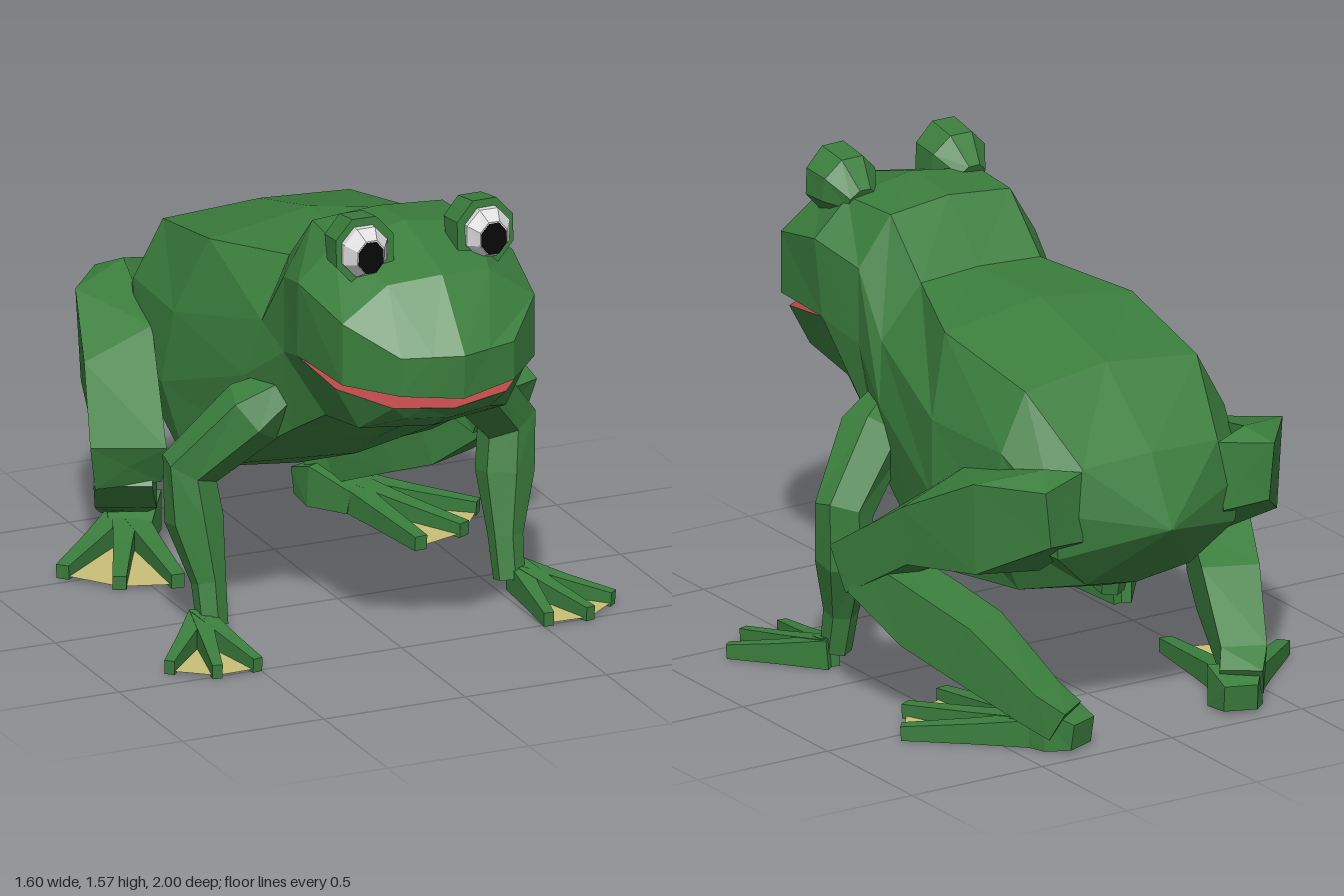
import * as THREE from 'three';

const mat = (name, color, extra = {}) => {
  const m = new THREE.MeshStandardMaterial({ color, flatShading: true, ...extra });
  m.name = name;
  return m;
};
const V = (p) => new THREE.Vector3(p[0], p[1], p[2]);

// Skin joining successive rings of points; a cap may be given an apex point
function loft(rings, { closed = true, caps = closed, apex = null, flip = false } = {}) {
  const out = [];
  const tri = (a, b, c) => {
    const area = b.clone().sub(a).cross(c.clone().sub(a)).length();
    if (area < 1e-6) return;
    for (const p of flip ? [a, c, b] : [a, b, c]) out.push(p.x, p.y, p.z);
  };
  const n = rings[0].length, last = rings.length - 1;
  for (let j = 0; j < (closed ? n : n - 1); j++) {
    const k = (j + 1) % n;
    for (let i = 0; i < last; i++) {
      const a = rings[i][j], b = rings[i][k], c = rings[i + 1][k], d = rings[i + 1][j];
      tri(a, d, b);
      tri(b, d, c);
    }
  }
  if (caps) {
    const mid = (r) => r.reduce((s, p) => s.add(p), new THREE.Vector3()).divideScalar(n);
    const m0 = apex ? V(apex) : mid(rings[0]), m1 = mid(rings[last]);
    for (let j = 0; j < n; j++) {
      const k = (j + 1) % n;
      tri(rings[0][j], rings[0][k], m0);
      tri(rings[last][k], rings[last][j], m1);
    }
  }
  const g = new THREE.BufferGeometry();
  g.setAttribute('position', new THREE.Float32BufferAttribute(out, 3));
  g.computeVertexNormals();
  return g;
}

// Half section (centre outwards on +x) completed with its mirror image
const both = (half) => [
  ...half.filter((p) => p[0] > 0).reverse().map((p) => V([-p[0], p[1], p[2]])),
  ...half.map(V),
];

// Tapered prism along sections [x, y, z, half width, half height]
function limb(sections, sides = 4, ref = [0, 1, 0]) {
  const pts = sections.map(V), grow = 1 / Math.cos(Math.PI / sides);
  return loft(sections.map((s, i) => {
    const t = pts[Math.min(i + 1, pts.length - 1)].clone().sub(pts[Math.max(i - 1, 0)]).normalize();
    const u = V(ref).cross(t).normalize(), v = t.clone().cross(u);
    return Array.from({ length: sides }, (_, k) => {
      const a = -((k + 0.5) / sides) * Math.PI * 2;
      return pts[i].clone()
        .addScaledVector(u, Math.cos(a) * s[3] * grow)
        .addScaledVector(v, Math.sin(a) * s[4] * grow);
    });
  }));
}

// Mirrored copy across x = 0 with the corner order restored
function mirrored(geo) {
  const g = geo.clone(), p = g.attributes.position.array;
  for (let i = 0; i < p.length; i += 9) {
    for (let k = 0; k < 9; k += 3) p[i + k] *= -1;
    for (let k = 3; k < 6; k++) [p[i + k], p[i + k + 3]] = [p[i + k + 3], p[i + k]];
  }
  g.computeVertexNormals();
  return g;
}

export function createModel() {
  const green = mat('skin green', 0x3b7e3d);
  const yellow = mat('web yellow', 0xc8c076, { side: THREE.DoubleSide });
  const red = mat('mouth red', 0xb84848, { side: THREE.DoubleSide });
  const white = mat('eye white', 0xdcdcdc);
  const black = mat('pupil black', 0x080808);

  const frog = new THREE.Group();
  frog.name = 'frog';
  const add = (name, geo, material) => {
    const m = new THREE.Mesh(geo, material);
    m.name = name;
    frog.add(m);
  };
  const pair = (name, geo, material) => {
    add('left ' + name, geo, material);
    add('right ' + name, mirrored(geo), material);
  };

  // Body from rump to the back of the mouth
  const jawRoot = [[0, 1.49, 0.53], [0.25, 1.45, 0.53], [0.38, 1.33, 0.53],
    [0.37, 1.07, 0.5], [0.27, 0.85, 0.5], [0, 0.82, 0.5]];
  const body = [
    [[0, 0.95, -0.88], [0.26, 0.94, -0.87], [0.36, 0.8, -0.86], [0.34, 0.64, -0.85], [0.2, 0.51, -0.8], [0, 0.48, -0.79]],
    [[0, 1.18, -0.61], [0.33, 1.15, -0.64], [0.43, 0.96, -0.65], [0.45, 0.7, -0.62], [0.33, 0.46, -0.6], [0, 0.41, -0.6]],
    [[0, 1.285, -0.22], [0.36, 1.23, -0.21], [0.455, 0.97, -0.28], [0.48, 0.72, -0.32], [0.43, 0.45, -0.22], [0, 0.375, -0.3]],
    [[0, 1.28, 0.14], [0.23, 1.27, 0.13], [0.35, 1.08, 0.18], [0.39, 0.88, 0.13], [0.36, 0.62, 0.13], [0, 0.56, 0.15]],
    [[0, 1.47, 0.32], [0.23, 1.45, 0.31], [0.34, 1.28, 0.33], [0.34, 1.02, 0.33], [0.3, 0.74, 0.31], [0, 0.67, 0.31]],
    jawRoot,
  ];
  add('body', loft(body.map(both), { apex: [0, 0.72, -1] }), green);

  // Upper head and lip
  const upper = [
    jawRoot.slice(0, 4),
    [[0, 1.4, 0.82], [0.18, 1.38, 0.79], [0.34, 1.27, 0.79], [0.34, 1.06, 0.79]],
    [[0, 1.18, 1], [0.1, 1.18, 0.97], [0.2, 1.18, 0.94], [0.2, 1.05, 0.94]],
    [[0, 1.03, 0.99], [0.1, 1.04, 0.965], [0.2, 1.05, 0.94], [0.2, 1.05, 0.94]],
  ];
  add('upper head', loft(upper.map(both), { closed: false }), green);

  // Lower jaw
  const chin = [
    jawRoot.slice(3).reverse(),
    [[0, 0.855, 0.74], [0.26, 0.885, 0.74], [0.34, 1.03, 0.74]],
    [[0, 0.93, 0.88], [0.15, 0.94, 0.86], [0.2, 0.99, 0.88]],
    [[0, 0.975, 0.92], [0.1, 0.982, 0.9], [0.2, 0.99, 0.88]],
  ];
  add('lower jaw', loft(chin.map(both), { closed: false, flip: true }), green);

  // Mouth lining
  const roof = [
    [[0, 1.07, 0.5], [0.37, 1.07, 0.5]],
    [[0, 1.06, 0.79], [0.34, 1.06, 0.79]],
    [[0, 1.03, 0.99], [0.2, 1.05, 0.94]],
  ];
  const floor = [
    [[0, 1.065, 0.59], [0.37, 1.07, 0.5]],
    [[0, 1.01, 0.74], [0.34, 1.03, 0.74]],
    [[0, 0.975, 0.92], [0.2, 0.99, 0.88]],
  ];
  add('mouth roof', loft(roof.map(both), { closed: false, flip: true }), red);
  add('mouth floor', loft(floor.map(both), { closed: false }), red);

  // Eyes
  pair('eye socket', limb([[0.21, 1.43, 0.51, 0.05, 0.05], [0.21, 1.465, 0.59, 0.098, 0.1],
    [0.213, 1.47, 0.685, 0.1, 0.11]], 8), green);
  pair('eyeball', limb([[0.217, 1.47, 0.66, 0.076, 0.083], [0.217, 1.47, 0.7, 0.076, 0.083],
    [0.217, 1.467, 0.742, 0.047, 0.056]], 8), white);
  pair('pupil', limb([[0.217, 1.465, 0.738, 0.043, 0.053], [0.217, 1.465, 0.746, 0.043, 0.053]], 8), black);

  // Front legs
  pair('front leg', limb([
    [0.29, 0.85, 0.23, 0.06, 0.07], [0.38, 0.77, 0.18, 0.1, 0.1], [0.56, 0.57, 0.08, 0.09, 0.07],
    [0.55, 0.4, 0.09, 0.085, 0.08], [0.525, 0.2, 0.15, 0.05, 0.05], [0.525, 0.06, 0.18, 0.045, 0.045],
  ], 6, [0, 0, 1]), green);

  // Hind legs: corners run outer top, outer bottom, inner bottom, inner top
  const thigh = [
    [[0.44, 0.91, -0.93], [0.42, 0.72, -0.93], [0.27, 0.7, -0.89], [0.26, 0.93, -0.87]],
    [[0.595, 0.915, -0.74], [0.58, 0.6, -0.73], [0.34, 0.57, -0.74], [0.38, 0.955, -0.84]],
    [[0.69, 0.77, -0.46], [0.67, 0.57, -0.46], [0.42, 0.55, -0.46], [0.45, 0.86, -0.46]],
    [[0.79, 0.58, -0.19], [0.755, 0.42, -0.23], [0.55, 0.44, -0.16], [0.565, 0.58, -0.09]],
  ];
  pair('thigh', loft(thigh.map((ring) => ring.map(V))), green);
  pair('shin', limb([
    [0.655, 0.49, -0.23, 0.095, 0.07], [0.56, 0.37, -0.42, 0.1, 0.1], [0.49, 0.3, -0.58, 0.095, 0.1],
    [0.39, 0.15, -0.82, 0.075, 0.06], [0.34, 0.1, -0.89, 0.07, 0.055],
  ]), green);
  pair('heel', limb([[0.305, 0.065, -0.94, 0.055, 0.045], [0.34, 0.08, -0.85, 0.09, 0.07],
    [0.41, 0.05, -0.72, 0.07, 0.04]]), green);

  // Feet: three toes with webs stretched between them
  const foot = (name, base, tips, size) => {
    tips.forEach(([x, z], i) => {
      pair(`${name} toe ${i + 1}`, limb([
        [base[0], 0.06, base[1], size, 0.05],
        [(base[0] + x) / 2, 0.045, (base[1] + z) / 2, size * 0.7, 0.035],
        [x, 0.032, z, size * 0.5, 0.024],
      ]), green);
    });
    const web = [0.1, 0.99].map((f) => tips.map(([x, z]) =>
      V([base[0] + (x - base[0]) * f, 0.019, base[1] + (z - base[1]) * f])));
    pair(`${name} web`, loft(web, { closed: false }), yellow);
  };
  foot('front foot', [0.56, 0.16], [[0.515, 0.515], [0.66, 0.52], [0.785, 0.42]], 0.034);
  foot('hind foot', [0.37, -0.84], [[0.43, -0.3], [0.61, -0.36], [0.735, -0.53]], 0.045);

  return frog;
}
